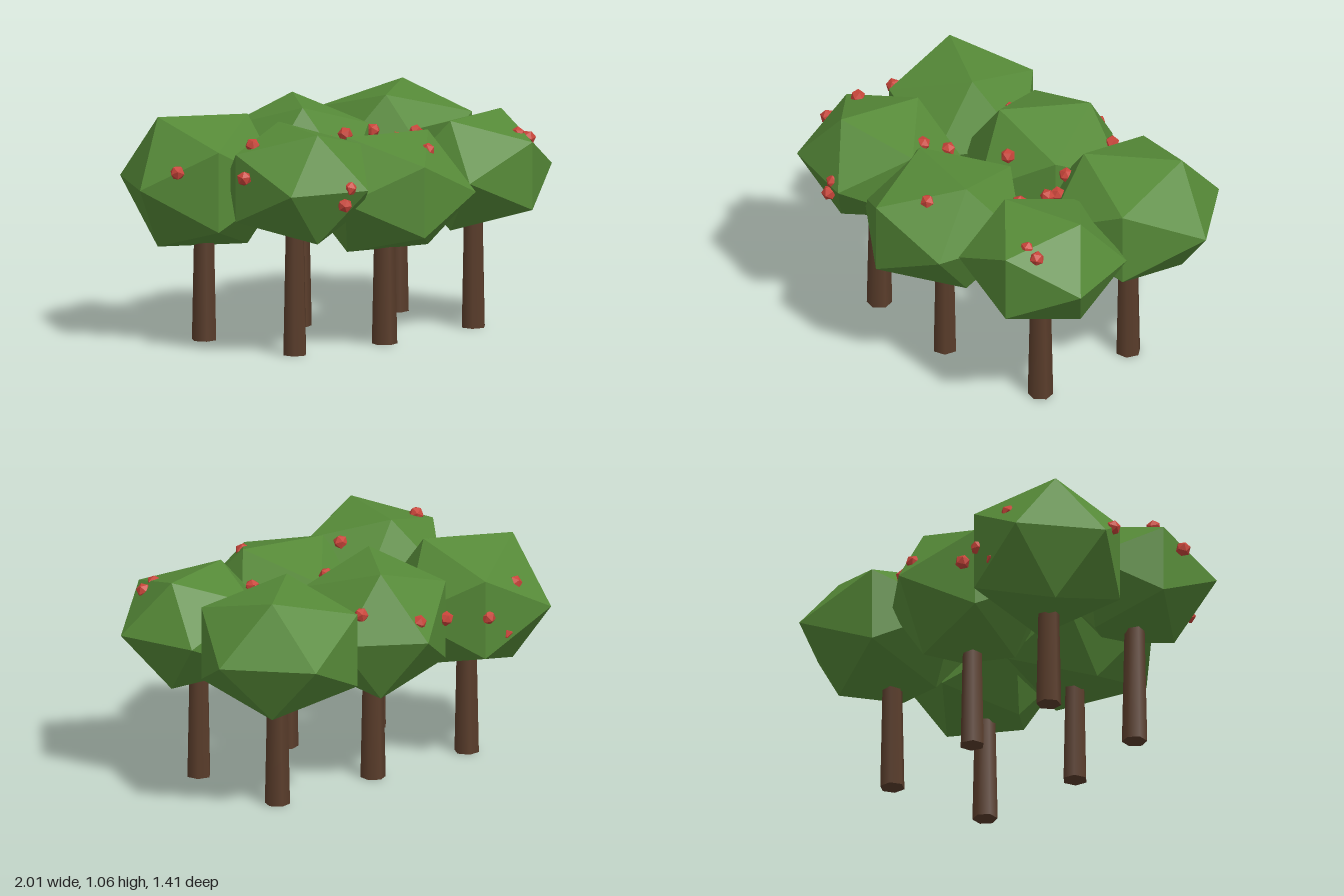
import * as THREE from 'three';

export function createModel() {
  const grove = new THREE.Group();
  grove.name = 'grove';

  const leaf = new THREE.MeshStandardMaterial({ color: 0x568a38, flatShading: true });
  const bark = new THREE.MeshStandardMaterial({ color: 0x5a3d2b });
  const fruit = new THREE.MeshStandardMaterial({ color: 0xc8453a, flatShading: true });

  // Trees: trunk x, z; crown centre; crown half length, height, depth; turn in degrees
  const trees = [
    { name: 'backRightTree', base: [-0.6, -0.27], top: [-0.6, 0.75, -0.28], size: [0.405, 0.305, 0.405], turn: 28 },
    { name: 'backMiddleTree', base: [-0.025, -0.265], top: [-0.022, 0.757, -0.28], size: [0.405, 0.303, 0.39], turn: -56 },
    { name: 'backLeftTree', base: [0.567, -0.265], top: [0.575, 0.77, -0.288], size: [0.437, 0.283, 0.43], turn: -40 },
    { name: 'frontRightTree', base: [-0.53, 0.295], top: [-0.518, 0.807, 0.305], size: [0.385, 0.257, 0.38], turn: 104 },
    { name: 'frontMiddleTree', base: [-0.025, 0.345], top: [-0.02, 0.72, 0.36], size: [0.405, 0.27, 0.425], turn: 12 },
    { name: 'frontLeftTree', base: [0.567, 0.285], top: [0.582, 0.74, 0.285], size: [0.395, 0.258, 0.375], turn: -15 },
  ];

  for (const t of trees) {
    const tree = new THREE.Group();
    tree.name = t.name;
    const angle = -THREE.MathUtils.degToRad(t.turn);

    // Tapered six-sided trunk, ending inside the crown
    const trunk = new THREE.Mesh(new THREE.CylinderGeometry(0.046, 0.059, 0.62, 6), bark);
    trunk.name = 'trunk';
    trunk.position.set(t.base[0], 0.31, t.base[1]);
    trunk.rotation.y = angle;

    // Flattened twenty-sided crown with an edge on top
    const crown = new THREE.Mesh(new THREE.IcosahedronGeometry(1, 0), leaf);
    crown.name = 'crown';
    crown.position.set(...t.top);
    crown.scale.set(t.size[0], t.size[1] / 0.8507, t.size[2]);
    crown.rotation.y = angle;

    tree.add(trunk, crown);
    grove.add(tree);
  }

  // Fruit scattered over the crowns
  const spots = [
    [-0.65, 0.88, -0.55], [-0.46, 0.76, -0.58], [-0.57, 0.66, -0.575], [-0.89, 0.84, -0.12],
    [-0.26, 0.78, -0.51], [-0.01, 0.84, -0.605], [-0.32, 0.885, -0.33], [0.23, 0.895, -0.47],
    [0.03, 0.93, 0], [0.3, 0.9, -0.12], [0.36, 0.87, -0.01], [0.39, 0.91, 0.08],
    [0.32, 0.89, 0.19], [-0.26, 0.88, 0.11], [-0.28, 0.96, 0.25], [-0.74, 1.0, 0.24],
    [-0.86, 0.87, 0.32], [-0.48, 0.82, 0.63], [-0.51, 0.745, 0.63], [0.07, 0.925, 0.54],
    [0.68, 0.92, 0.47], [0.745, 0.895, 0.47],
  ];
  const fruitShape = new THREE.IcosahedronGeometry(0.036, 0);
  spots.forEach((p, i) => {
    const piece = new THREE.Mesh(fruitShape, fruit);
    piece.name = 'fruit';
    piece.position.set(...p);
    piece.rotation.set(i * 0.7, i * 1.3, 0);
    grove.add(piece);
  });

  return grove;
}
